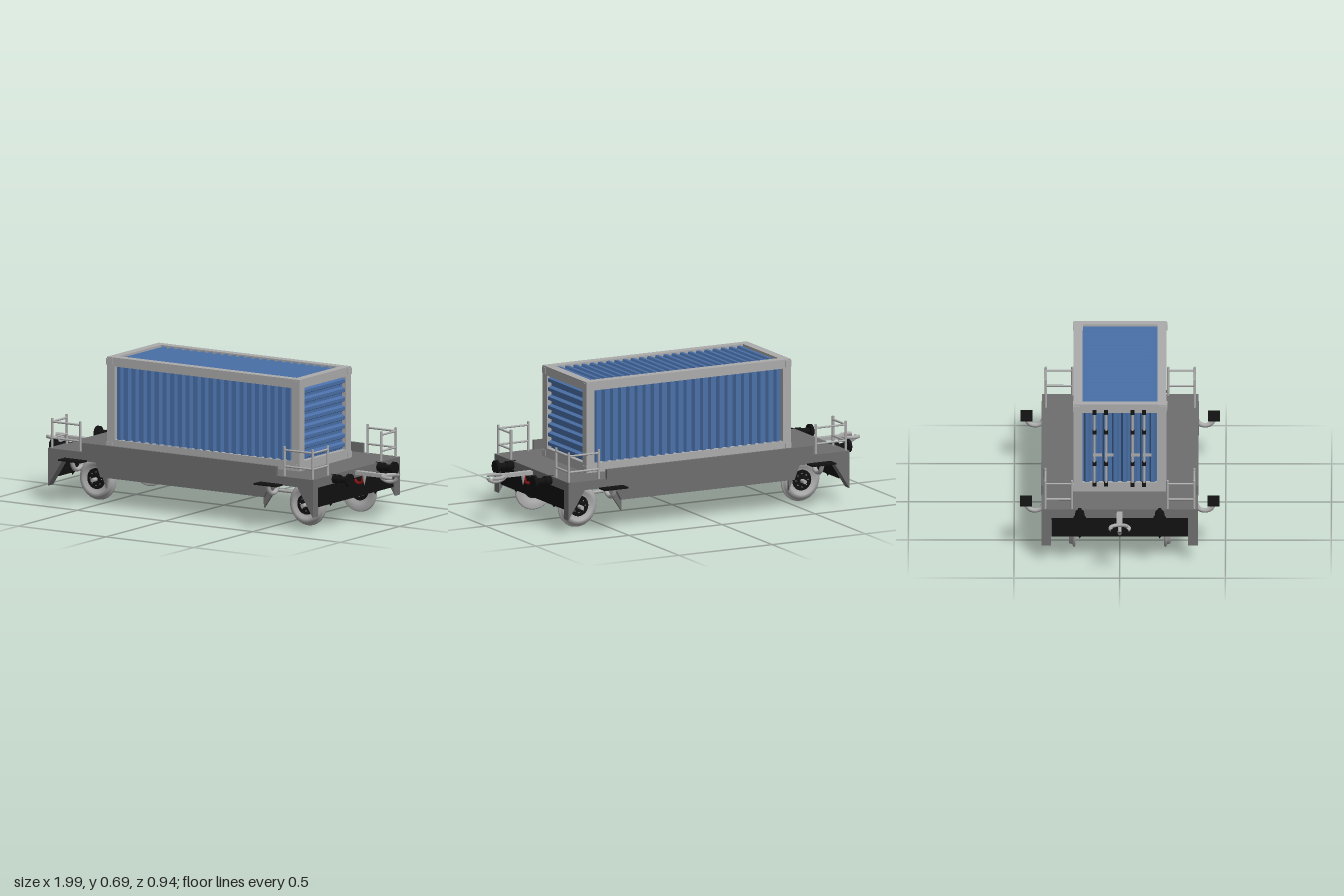
import * as THREE from 'three';

const mat = (name, color, side = THREE.FrontSide) => {
  const m = new THREE.MeshStandardMaterial({ color, side });
  m.name = name;
  return m;
};
const deckGrey = mat('deck grey', 0x6e6e6e);
const lightGrey = mat('light grey', 0xacacac);
const blue = mat('panel blue', 0x4a70a8);
const black = mat('black', 0x111111);
const red = mat('hose red', 0x8c1212);

export function createModel() {
  const root = new THREE.Group();
  root.name = 'containerWagon';

  const add = (name, geo, material, x = 0, y = 0, z = 0, parent = root) => {
    const m = new THREE.Mesh(geo, material);
    m.name = name;
    m.position.set(x, y, z);
    parent.add(m);
    return m;
  };
  // box given by its limits on each axis
  const box = (name, material, x0, x1, y0, y1, z0, z1, parent = root) =>
    add(name, new THREE.BoxGeometry(x1 - x0, y1 - y0, z1 - z0), material,
      (x0 + x1) / 2, (y0 + y1) / 2, (z0 + z1) / 2, parent);
  // bent rod through points
  const tube = (name, material, pts, r, parent = root) =>
    add(name, new THREE.TubeGeometry(
      new THREE.CatmullRomCurve3(pts.map(p => new THREE.Vector3(...p))), 24, r, 10), material, 0, 0, 0, parent);
  // straight rod between two points
  const rod = (name, material, a, b, r, parent = root) => {
    const p = new THREE.Vector3(...a), q = new THREE.Vector3(...b);
    const m = add(name, new THREE.CylinderGeometry(r, r, p.distanceTo(q), 12), material, 0, 0, 0, parent);
    m.position.copy(p).add(q).multiplyScalar(0.5);
    m.quaternion.setFromUnitVectors(new THREE.Vector3(0, 1, 0), q.sub(p).normalize());
    return m;
  };
  // plate with an x-y outline, centred on z
  const plate = (name, material, pts, thick, z) => {
    const g = new THREE.ExtrudeGeometry(new THREE.Shape(pts.map(p => new THREE.Vector2(...p))),
      { depth: thick, bevelEnabled: false });
    g.translate(0, 0, -thick / 2);
    return add(name, g, material, 0, 0, z);
  };

  // deck, side lips and lower sills
  box('deck', deckGrey, -0.755, 0.755, 0.212, 0.255, -0.37, 0.37);
  for (const s of [-1, 1]) {
    const side = s < 0 ? 'right' : 'left';
    const lip = box(side + 'DeckLip', deckGrey, -0.56, 0.55, 0.25, 0.3, 0.36, 0.372);
    lip.position.z *= s;
    plate(side + 'Sill', deckGrey, [[-0.5, 0.215], [-0.47, 0.14], [0.46, 0.14], [0.5, 0.215]], 0.02, s * 0.34);
    // corner fins and wheel guards
    for (const e of [-1, 1]) {
      plate(side + 'CornerFin', deckGrey, [[e * 0.755, 0.215], [e * 0.755, 0.073], [e * 0.665, 0.215]], 0.046, s * 0.347);
      const k = e < 0 ? 0.5 : 0.54;
      plate(side + 'WheelGuard', deckGrey, [[e * 0.445, 0.215], [e * 0.45, 0.085], [e * k, 0.215]], 0.012, s * 0.325);
    }
  }

  // container frame
  const X0 = -0.52, X1 = 0.577, Y0 = 0.252, Y1 = 0.695, Z = 0.22, W = 0.043;
  const container = new THREE.Group();
  container.name = 'container';
  root.add(container);
  box('containerFloor', lightGrey, X0 + W, X1 - W, Y0, 0.27, -Z + W, Z - W, container);
  for (const [y0, y1] of [[Y0, 0.3], [Y1 - W, Y1]]) {
    for (const z of [-Z, Z - W]) box('longRail', lightGrey, X0, X1, y0, y1, z, z + W, container);
    for (const x of [X0, X1 - W]) box('crossRail', lightGrey, x, x + W, y0, y1, -Z + W, Z - W, container);
  }
  for (const x of [X0, X1 - W]) for (const z of [-Z, Z - W]) {
    box('cornerPost', lightGrey, x, x + W, 0.3, Y1 - W, z, z + W, container);
    for (const y of [Y0 + 0.022, Y1 - 0.022])
      add('cornerCasting', new THREE.BoxGeometry(0.034, 0.03, 0.034), lightGrey,
        x + W / 2 + Math.sign(x) * 0.007, y, z + W / 2 + Math.sign(z) * 0.007, container);
  }

  // corrugated panel: ridges across x, outward is +y, extruded along z
  const corrugated = (length, depth, n) => {
    const s = new THREE.Shape(), p = length / n, d = 0.018;
    s.moveTo(-length / 2, -d - 0.005);
    for (let i = 0; i < n; i++) {
      const x = -length / 2 + i * p;
      s.lineTo(x, -d);
      s.lineTo(x + p * 0.15, -d);
      s.lineTo(x + p * 0.32, 0);
      s.lineTo(x + p * 0.68, 0);
      s.lineTo(x + p * 0.85, -d);
    }
    s.lineTo(length / 2, -d);
    s.lineTo(length / 2, -d - 0.005);
    const g = new THREE.ExtrudeGeometry(s, { depth, bevelEnabled: false });
    return g.translate(0, 0, -depth / 2);
  };
  const L = X1 - X0 - 2 * W, H = Y1 - W - 0.3, D = 2 * (Z - W), cx = (X0 + X1) / 2, cy = 0.3 + H / 2, inset = 0.006;
  add('roofPanel', corrugated(L, D, 23), blue, cx, Y1 - inset, 0, container);
  for (const s of [-1, 1])
    add('sidePanel', corrugated(L, H, 23).rotateX(s * Math.PI / 2), blue, cx, cy, s * (Z - inset), container);
  add('endPanel', corrugated(H, D, 8).rotateZ(-Math.PI / 2), blue, X1 - inset, cy, 0, container);
  add('doorPanel', corrugated(D, H, 8).rotateX(Math.PI / 2).rotateY(-Math.PI / 2), blue, X0 + inset, cy, 0, container);

  // door locking bars
  for (const z of [-0.12, -0.065, 0.06, 0.115]) {
    rod('lockingBar', lightGrey, [-0.53, 0.29, z], [-0.53, 0.665, z], 0.006, container);
    for (const y of [0.295, 0.4, 0.56, 0.66]) box('barBracket', black, -0.538, -0.517, y - 0.009, y + 0.009, z - 0.009, z + 0.009, container);
    box('barHandle', lightGrey, -0.537, -0.53, 0.44, 0.452, z - 0.006, z + 0.035, container);
  }

  // wheel sets
  const wheelProfile = [[0.045, -0.004], [0.062, -0.006], [0.07, -0.013], [0.098, -0.015], [0.104, -0.01],
    [0.1, -0.004], [0.09, 0], [0.087, 0.016], [0.07, 0.016], [0.062, 0.007], [0.045, 0.005]]
    .map(p => new THREE.Vector2(...p));
  for (const x of [-0.572, 0.625]) {
    const set = new THREE.Group();
    set.name = 'wheelSet';
    set.position.set(x, 0.105, 0);
    root.add(set);
    rod('axle', lightGrey, [0, -0.003, -0.267], [0, -0.003, 0.267], 0.01, set);
    for (const s of [-1, 1]) {
      const wheel = new THREE.Group();
      wheel.name = 'wheel';
      wheel.position.z = s * 0.225;
      if (s < 0) wheel.rotation.y = Math.PI;
      set.add(wheel);
      add('wheelRim', new THREE.LatheGeometry(wheelProfile, 40).rotateX(Math.PI / 2), lightGrey, 0, 0, 0, wheel);
      add('wheelCentre', new THREE.CylinderGeometry(0.05, 0.05, 0.018, 32).rotateX(Math.PI / 2), black, 0, 0, 0, wheel);
      for (let i = 0; i < 8; i++) {
        const a = i * Math.PI / 4;
        add('wheelBolt', new THREE.CylinderGeometry(0.003, 0.003, 0.022, 6).rotateX(Math.PI / 2), lightGrey,
          Math.cos(a) * 0.032, Math.sin(a) * 0.032, 0, wheel);
      }
    }
  }
  rod('brakeRod', lightGrey, [-0.57, 0.105, 0], [0.62, 0.105, 0], 0.008);

  // side steps on curved brackets
  for (const x of [-0.565, 0.55]) for (const s of [-1, 1]) {
    box('sideStep', black, x - 0.064, x + 0.064, 0.221, 0.228, s * 0.443 - 0.028, s * 0.443 + 0.028);
    tube('stepBracket', lightGrey,
      [[x, 0.212, s * 0.36], [x, 0.186, s * 0.375], [x, 0.177, s * 0.4], [x, 0.186, s * 0.43], [x, 0.222, s * 0.45]], 0.011);
  }

  // fittings at both ends
  for (const e of [-1, 1]) {
    const X = v => e * v;
    const end = new THREE.Group();
    end.name = e > 0 ? 'leftEnd' : 'rightEnd';
    root.add(end);
    add('bufferBeam', new THREE.BoxGeometry(0.025, 0.097, 0.646), black, X(0.735), 0.164, 0, end);

    for (const s of [-1, 1]) {
      // buffers with a hanging spike under the beam
      const z = s * 0.189;
      rod('bufferSleeve', black, [X(0.74), 0.235, z], [X(0.79), 0.235, z], 0.022, end);
      rod('bufferShaft', black, [X(0.78), 0.235, z], [X(0.835), 0.235, z], 0.016, end);
      rod('bufferHead', black, [X(0.835), 0.235, z], [X(0.85), 0.235, z], 0.032, end);
      add('beamSpike', new THREE.ConeGeometry(0.011, 0.018, 12).rotateX(Math.PI), black, X(0.735), 0.109, z, end);

      // corner railing
      const xi = X(0.582), xo = X(0.743), zo = s * 0.352, zi = s * 0.226;
      for (const [x, zz] of [[xi, zo], [xo, zo], [xo, zi]])
        rod('railPost', lightGrey, [x, 0.25, zz], [x, 0.397, zz], 0.006, end);
      for (const y of [0.302, 0.38]) {
        rod('sideRail', lightGrey, [xi, y, zo], [xo, y, zo], 0.005, end);
        rod('endRail', lightGrey, [xo, y, zo], [xo, y, zi], 0.005, end);
      }
    }

    // coupler: shank, open claw and lower hook
    add('couplerShank', new THREE.BoxGeometry(0.17, 0.018, 0.028), lightGrey, X(0.825), 0.236, 0, end);
    const claw = [];
    for (let i = 0; i <= 10; i++) {
      const a = Math.PI * (0.28 + 1.44 * i / 10);
      claw.push([X(0.955 + 0.045 * Math.cos(a)), 0.236, 0.045 * Math.sin(a)]);
    }
    tube('couplerClaw', lightGrey, claw, 0.009, end);
    tube('couplerHook', lightGrey,
      [[X(0.89), 0.234, 0], [X(0.91), 0.218, 0], [X(0.945), 0.211, 0], [X(0.975), 0.218, 0], [X(0.99), 0.236, 0]], 0.009, end);
    add('couplerPin', new THREE.ConeGeometry(0.012, 0.055, 12).rotateX(Math.PI), lightGrey, X(0.8), 0.203, 0, end);

    // brake hose
    tube('brakeHose', red, [[X(0.745), 0.2, 0], [X(0.765), 0.186, 0], [X(0.785), 0.192, 0], [X(0.793), 0.225, 0]], 0.007, end);
  }

  // plates wound backwards by mirroring are turned the right way round
  root.traverse(o => {
    if (o.isMesh) o.geometry.computeBoundingSphere();
  });
  return root;
}
